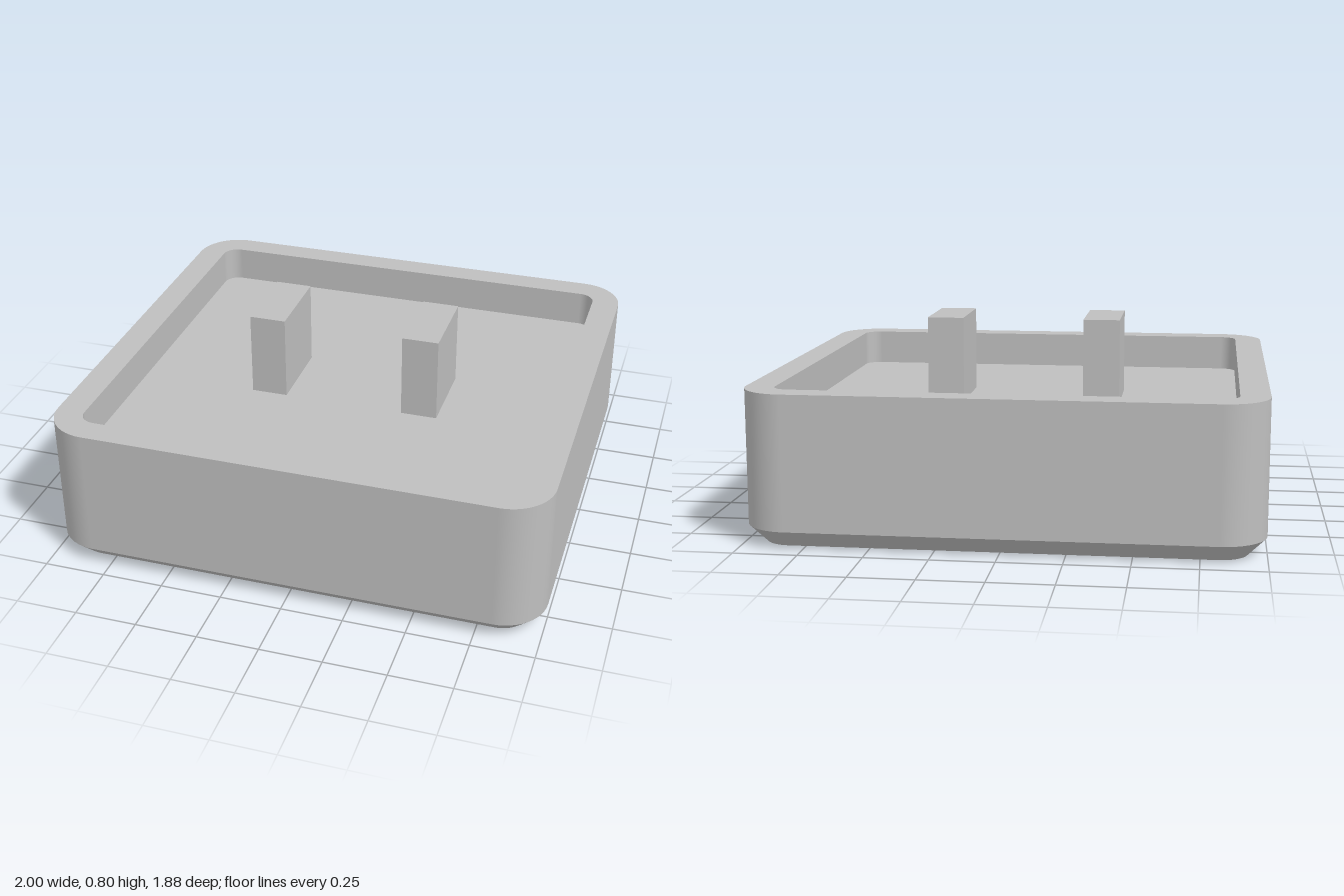
import * as THREE from 'three';

const ARC_STEPS = 12; // segments per rounded corner

// Rounded rectangle outline at height y (half sizes hx, hz, corner radius r)
function ring(hx, hz, r, y) {
  const points = [];
  const corners = [[1, 1], [-1, 1], [-1, -1], [1, -1]];
  corners.forEach(([sx, sz], c) => {
    for (let i = 0; i <= ARC_STEPS; i++) {
      const a = (c + i / ARC_STEPS) * Math.PI / 2;
      points.push(new THREE.Vector3(
        sx * (hx - r) + r * Math.cos(a), y, sz * (hz - r) + r * Math.sin(a)));
    }
  });
  return points;
}

// Surface between two outlines, smooth around its corners
function band(a, b) {
  const n = a.length;
  const index = [];
  for (let i = 0; i < n; i++) {
    const j = (i + 1) % n;
    index.push(i, n + i, j, j, n + i, n + j);
  }
  const geometry = new THREE.BufferGeometry().setFromPoints([...a, ...b]);
  geometry.setIndex(index);
  geometry.computeVertexNormals();
  return geometry;
}

export function createModel() {
  const group = new THREE.Group();
  group.name = 'tray';
  const grey = new THREE.MeshStandardMaterial({ color: 0xbfbfbf });
  grey.name = 'grey';

  const add = (name, geometry) => {
    const mesh = new THREE.Mesh(geometry, grey);
    mesh.name = name;
    group.add(mesh);
    return mesh;
  };

  // Outlines from the underside, up the outside, over the rim and down to the floor
  const floorY = 0.45;
  const rings = [
    ring(0, 0, 0, 0),
    ring(0.93, 0.87, 0.11, 0),
    ring(1, 0.94, 0.18, 0.07),
    ring(1, 0.94, 0.18, 0.6),
    ring(0.885, 0.83, 0.065, 0.6),
    ring(0.885, 0.83, 0.065, floorY),
    ring(0, 0, 0, floorY),
  ];
  const names = ['underside', 'bottomChamfer', 'outerWall', 'rim', 'innerWall', 'floor'];
  names.forEach((name, i) => add(name, band(rings[i], rings[i + 1])));

  // Two upright posts standing on the recessed floor
  const postHeight = 0.8 - floorY;
  for (const [name, side] of [['leftPost', 1], ['rightPost', -1]]) {
    add(name, new THREE.BoxGeometry(0.15, postHeight, 0.34))
      .position.set(side * 0.325, floorY + postHeight / 2, 0);
  }

  return group;
}
